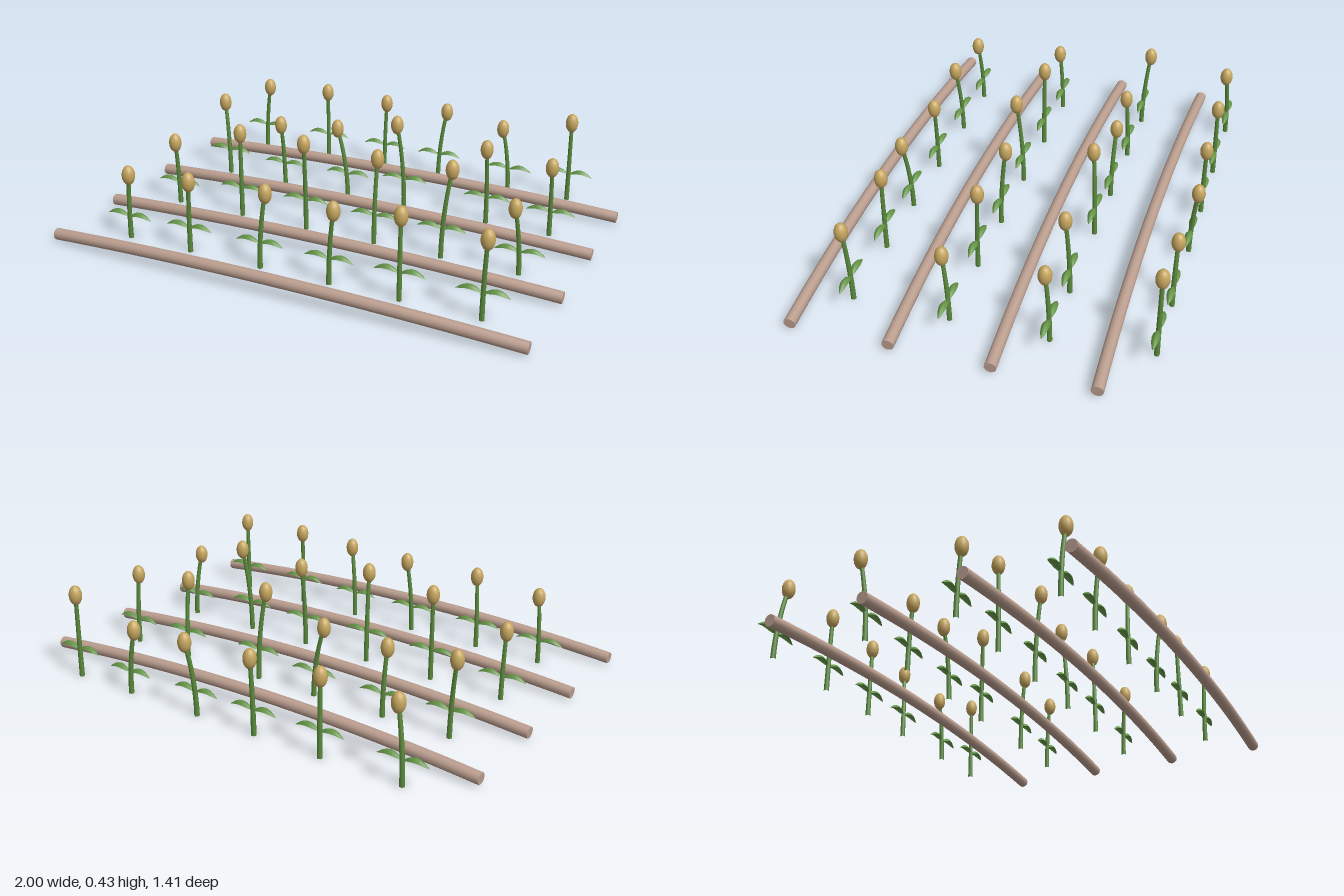
import * as THREE from 'three';

const mat = (name, color, side = THREE.FrontSide) => {
  const m = new THREE.MeshStandardMaterial({ color, side });
  m.name = name;
  return m;
};

// Plants per row: [stem x, head x, head y, head z offset]
const ROWS = [
  { z: -0.661, plants: [[-0.778, -0.746, 0.305, 0.016], [-0.439, -0.439, 0.32, 0.004], [-0.144, -0.136, 0.31, -0.002],
    [0.128, 0.154, 0.307, -0.022], [0.465, 0.43, 0.278, 0], [0.738, 0.736, 0.355, 0]] },
  { z: -0.272, plants: [[-0.749, -0.778, 0.332, -0.022], [-0.46, -0.467, 0.284, 0.017], [-0.144, -0.195, 0.305, -0.004],
    [0.128, 0.099, 0.377, 0.02], [0.503, 0.502, 0.337, 0.022], [0.778, 0.778, 0.305, 0.018]] },
  { z: 0.115, plants: [[-0.767, -0.767, 0.282, 0.016], [-0.452, -0.452, 0.369, -0.003], [-0.144, -0.136, 0.385, 0.026],
    [0.166, 0.168, 0.358, -0.025], [0.457, 0.487, 0.373, -0.018], [0.778, 0.759, 0.283, 0.025]] },
  { z: 0.505, plants: [[-0.746, -0.725, 0.284, 0.014], [-0.457, -0.436, 0.31, 0.02], [-0.136, -0.108, 0.316, -0.005],
    [0.163, 0.194, 0.315, 0.02], [0.452, 0.453, 0.338, -0.003], [0.773, 0.786, 0.325, 0.012]] },
];

// Arched leaf along +x, folded down from its midrib
function leafGeometry() {
  const length = 0.105, steps = 10, pos = [], index = [];
  for (let i = 0; i <= steps; i++) {
    const t = i / steps;
    const w = Math.pow(Math.sin(Math.PI * Math.pow(t, 0.9)), 0.8) || 0;
    const y = 0.026 * Math.sin(Math.PI * t) - 0.004 * t;
    for (const side of [-1, -0.5, 0, 0.5, 1]) {
      pos.push(t * length, y - 0.014 * w * side * side, 0.015 * w * side);
    }
  }
  for (let i = 0; i < steps; i++) {
    for (let j = 0; j < 4; j++) {
      const a = i * 5 + j, b = a + 5;
      index.push(a, a + 1, b, b, a + 1, b + 1);
    }
  }
  const g = new THREE.BufferGeometry();
  g.setAttribute('position', new THREE.Float32BufferAttribute(pos, 3));
  g.setIndex(index);
  g.computeVertexNormals();
  return g;
}

// Tube with a linear taper towards its end
function taperedTube(curve, segments, r0, r1, sides) {
  const g = new THREE.TubeGeometry(curve, segments, r0, sides);
  const p = g.attributes.position, v = new THREE.Vector3();
  for (let i = 0; i <= segments; i++) {
    const c = curve.getPointAt(i / segments);
    const k = 1 + (r1 / r0 - 1) * (i / segments);
    for (let j = 0; j <= sides; j++) {
      const n = i * (sides + 1) + j;
      v.fromBufferAttribute(p, n).sub(c).multiplyScalar(k).add(c);
      p.setXYZ(n, v.x, v.y, v.z);
    }
  }
  return g;
}

export function createModel() {
  const model = new THREE.Group();
  model.name = 'plantedField';
  const wood = mat('palePinkWood', 0xbc9f90);
  const stemGreen = mat('stemGreen', 0x5a8a3c);
  const leafGreen = mat('leafGreen', 0x659547, THREE.DoubleSide);
  const gold = mat('ripeGold', 0xc6a65f);

  const add = (parent, name, geometry, material) => {
    const m = new THREE.Mesh(geometry, material);
    m.name = name;
    parent.add(m);
    return m;
  };

  // Bowed rails, one in front of each row
  const railRadius = 0.0235;
  const railCurve = new THREE.QuadraticBezierCurve3(
    new THREE.Vector3(-0.998, 0.0275, 0), new THREE.Vector3(0, 0.101, 0.044), new THREE.Vector3(0.998, 0.0275, 0));
  const railGeo = new THREE.TubeGeometry(railCurve, 24, railRadius, 12);
  const capGeo = new THREE.CircleGeometry(railRadius, 12);
  for (let r = 0; r < 4; r++) {
    const rail = new THREE.Group();
    rail.name = 'rail' + (r + 1);
    rail.position.z = -0.507 + r * 0.388;
    add(rail, 'railBar', railGeo, wood);
    for (const end of [0, 1]) {
      const cap = add(rail, 'railEnd', capGeo, wood);
      const dir = railCurve.getTangentAt(end).multiplyScalar(end ? 1 : -1);
      cap.position.copy(railCurve.getPointAt(end));
      cap.quaternion.setFromUnitVectors(new THREE.Vector3(0, 0, 1), dir);
    }
    model.add(rail);
  }

  // Plants: bending stem, pair of leaves, egg-shaped head
  const leafGeo = leafGeometry();
  const headGeo = new THREE.SphereGeometry(1, 16, 12).scale(0.0265, 0.041, 0.0265);
  for (const row of ROWS) {
    const rowGroup = new THREE.Group();
    rowGroup.name = 'plantRow';
    rowGroup.position.z = row.z;
    for (const [x, headX, headY, headZ] of row.plants) {
      const plant = new THREE.Group();
      plant.name = 'plant';
      plant.position.x = x;
      const top = new THREE.Vector3(headX - x, headY, headZ);
      const curve = new THREE.QuadraticBezierCurve3(
        new THREE.Vector3(), new THREE.Vector3(0, headY * 0.5, 0), top);
      add(plant, 'stem', taperedTube(curve, 8, 0.0105, 0.008, 8), stemGreen);
      const node = curve.getPoint(0.34);
      for (const turn of [0, Math.PI]) {
        const leaf = add(plant, 'leaf', leafGeo, leafGreen);
        leaf.position.set(0, node.y, node.z * 0.5);
        leaf.rotation.y = turn;
      }
      add(plant, 'head', headGeo, gold).position.copy(top);
      rowGroup.add(plant);
    }
    model.add(rowGroup);
  }
  return model;
}
